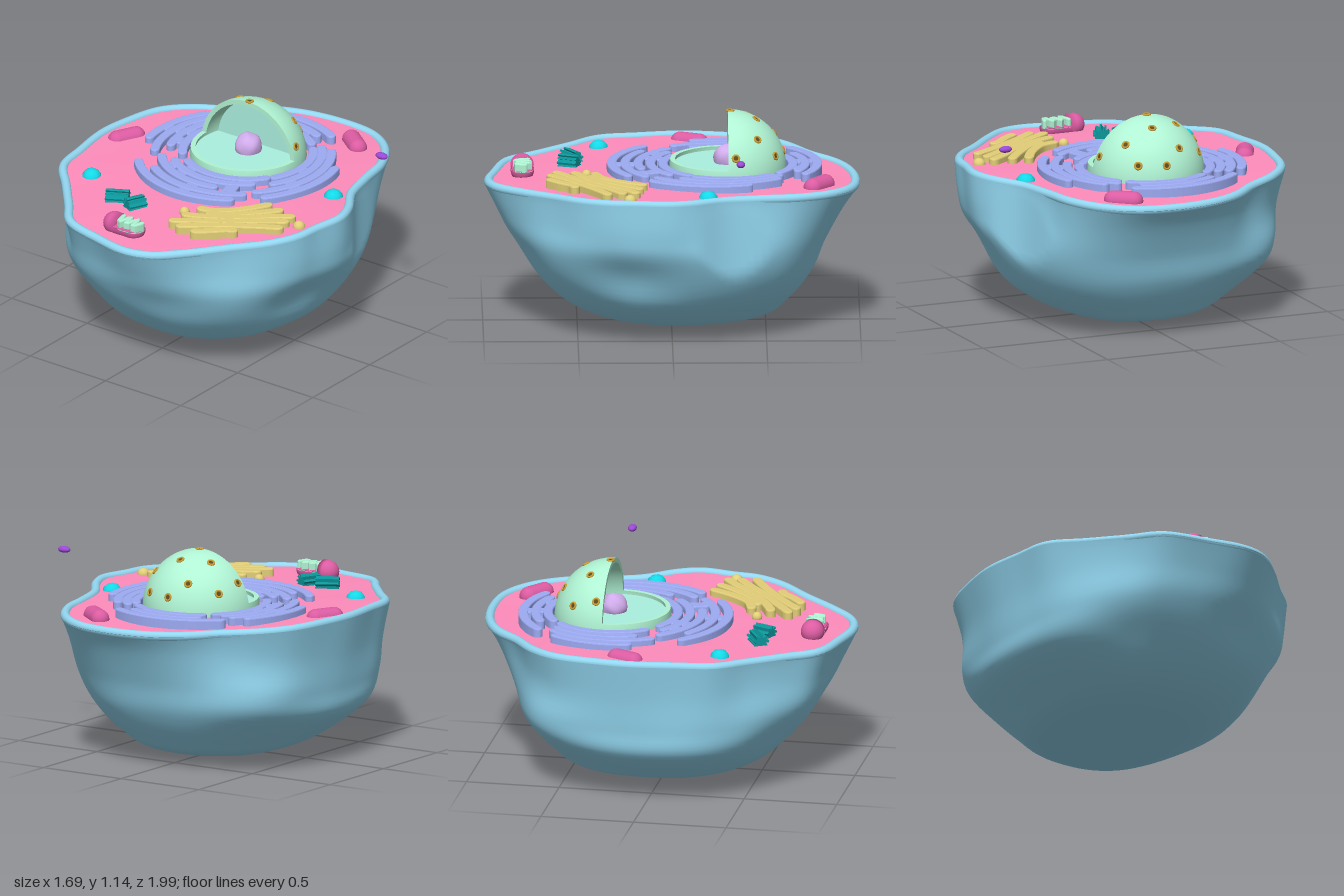
import * as THREE from 'three';

const V2 = (x, y) => new THREE.Vector2(x, y);
const mat = (color) => new THREE.MeshStandardMaterial({ color, side: THREE.DoubleSide });
const M = {
  membrane: mat(0x94d8f2), cytoplasm: mat(0xff8cbc), reticulum: mat(0x9dabf2), shell: mat(0xb0f4d4),
  inner: mat(0xaaf0e0), nucleolus: mat(0xd0aceb), gold: mat(0xe2cf78), pore: mat(0xc89c34),
  dark: mat(0x5a4a20), mito: mat(0xdc5ca2), cyan: mat(0x14dcea), teal: mat(0x0c989c), purple: mat(0x9c48d6),
};

function add(parent, name, geo, material, x = 0, y = 0, z = 0) {
  const m = new THREE.Mesh(geo, material);
  m.name = name;
  m.position.set(x, y, z);
  parent.add(m);
  return m;
}

// Cell outline seen from above (x, z)
const outline = new THREE.CatmullRomCurve3([
  [.11, -1], [.32, -.97], [.48, -.86], [.585, -.69], [.63, -.5], [.69, -.29], [.8, -.11], [.838, .02],
  [.81, .2], [.79, .34], [.71, .49], [.56, .65], [.4, .83], [.25, .96], [.11, .995], [-.1, .96],
  [-.34, .89], [-.47, .74], [-.63, .555], [-.77, .39], [-.81, .185], [-.842, -.05], [-.825, -.24],
  [-.765, -.48], [-.645, -.63], [-.46, -.76], [-.31, -.89], [-.13, -.97],
].map(([x, z]) => new THREE.Vector3(x, 0, z)), true);

const rimY = (x) => .8 + .045 * x * x;
const inset = (p, d) => p.clone().multiplyScalar(1 - d / p.length());

// Surface from closed loops: f(u, v) gives a point
function loopSurface(f, nu, nv) {
  const pos = [], idx = [];
  for (let j = 0; j <= nv; j++) for (let i = 0; i < nu; i++) pos.push(...f(i / nu, j / nv));
  for (let j = 0; j < nv; j++) for (let i = 0; i < nu; i++) {
    const a = j * nu + i, b = j * nu + (i + 1) % nu;
    idx.push(a, b, a + nu, b, b + nu, a + nu);
  }
  const g = new THREE.BufferGeometry();
  g.setAttribute('position', new THREE.Float32BufferAttribute(pos, 3));
  g.setIndex(idx);
  g.computeVertexNormals();
  return g;
}

// Wall profiles (outline scale, height) towards +x, -x, +z, -z
const profiles = [
  [[1, .8], [.985, .62], [.95, .48], [.79, .245], [.62, .12], [.4, .04], [0, 0]],
  [[1, .8], [.95, .6], [.915, .42], [.87, .28], [.65, .14], [.43, .05], [0, 0]],
  [[1, .8], [.935, .65], [.87, .48], [.75, .29], [.57, .12], [.35, .035], [0, 0]],
  [[1, .8], [.92, .68], [.82, .48], [.75, .32], [.62, .16], [.45, .05], [0, 0]],
].map((p) => new THREE.SplineCurve(p.map(([s, y]) => V2(s, y))));

// Soft hollows (or swellings, if negative) in the wall: angle, height, depth
const dents = [[.32, .38, .06], [2.1, .3, .05], [1.25, .42, .03], [-2.4, .42, -.06]];

function bodyPoint(u, v) {
  const p = outline.getPoint(u), a = Math.atan2(p.z, p.x);
  const c = Math.cos(a) ** 2;
  const A = profiles[p.x > 0 ? 0 : 1].getPoint(v), B = profiles[p.z > 0 ? 2 : 3].getPoint(v);
  let s = A.x * c + B.x * (1 - c);
  let y = A.y * c + B.y * (1 - c);
  // the wavy outline fades into a plain rounded oval lower down
  const oval = (Math.abs(Math.cos(a) / .835) ** 2.35 + Math.abs(Math.sin(a) / .99) ** 2.35) ** (-1 / 2.35);
  s *= 1 + (oval / p.length() - 1) * .85 * THREE.MathUtils.smoothstep(v, 0, .45);
  for (const [da, dy, d] of dents) {
    const w = Math.atan2(Math.sin(a - da), Math.cos(a - da));
    s *= 1 - d * Math.exp(-((w / .3) ** 2) - ((y - dy) / .13) ** 2);
  }
  s = Math.min(s, 1);
  y += (rimY(p.x) - .822) * Math.max(0, 1 - v * 3);
  return [p.x * s - .04 * v * v, Math.max(0, y), p.z * s - .06 * v * v];
}

function floorPoint(u, v) {
  const p = inset(outline.getPoint(u), .03);
  const y = .812 + (rimY(p.x) - .014 - .812) * v * v;
  return [p.x * v, y + .004 * Math.sin(p.x * v * 9) * Math.sin(p.z * v * 7) * (1 - v), p.z * v];
}

// Flat ribbon with round ends and soft edges along points (x, z)
function ribbon(points, half, top) {
  const curve = new THREE.SplineCurve(points.map(([x, z]) => V2(x, z)));
  const len = curve.getLength(), n = 40, left = [], right = [];
  for (let i = 0; i <= n; i++) {
    const k = (1 - Math.cos(Math.PI * i / n)) / 2;
    const d = Math.min(k, 1 - k) * len;
    const w = (half - .007) * Math.sqrt(1 - Math.max(0, 1 - d / half) ** 2) + .001;
    const p = curve.getPointAt(k), t = curve.getTangentAt(k);
    left.push(V2(p.x - t.y * w, p.y + t.x * w));
    right.unshift(V2(p.x + t.y * w, p.y - t.x * w));
  }
  const g = new THREE.ExtrudeGeometry(new THREE.Shape([...left, ...right]),
    { depth: .05, bevelSize: .007, bevelThickness: .007, bevelSegments: 2 });
  return g.rotateX(Math.PI / 2).translate(0, top - .007, 0);
}

// Folded membrane around the nucleus: t = 0 inner edge, 1 outer edge
function reticulumPoint(deg, t) {
  const a = deg * Math.PI / 180;
  const r = .33 + .215 * t;
  return [-.03 - .01 * t + r * Math.cos(a), -.3 + .07 * t + r * Math.sin(a) * (1 + .03 * t)];
}

function reticulum() {
  const g = new THREE.Group();
  g.name = 'endoplasmicReticulum';
  const arcs = [
    [.9, -134, -60], [.5, -122, -64], [.1, -128, -50],
    [.92, 166, 214], [.64, 148, 220], [.36, 155, 222], [.08, 138, 226],
    [.95, 56, 138], [.72, 50, 126], [.49, 72, 142], [.27, 46, 132], [.05, 34, 126],
    [.92, -20, 40], [.64, -42, 46], [.36, -48, 34], [.08, -44, 32],
  ];
  for (const [t, a, b] of arcs) {
    const pts = [];
    for (let i = 0; i <= 8; i++) pts.push(reticulumPoint(a + (b - a) * i / 8, t));
    add(g, 'reticulumFold', ribbon(pts, .025, .848), M.reticulum);
  }
  const links = [[-97, .05, .95], [-75, .1, .5], [183, .05, .92], [200, .3, .64], [165, .08, .4], [108, .04, .5],
    [88, .45, .95], [122, .25, .5], [-30, .05, .65], [18, .35, .92], [0, .08, .4], [62, .2, .72]];
  for (const [a, t0, t1] of links)
    add(g, 'reticulumLink', ribbon([reticulumPoint(a, t0), reticulumPoint(a, t1)], .036, .846), M.reticulum);
  return g;
}

function nucleus() {
  const g = new THREE.Group(), P = Math.PI, R = .31, r = .284, cut = .05, recess = .09;
  g.name = 'nucleus';
  g.position.set(-.033, .82, -.3);
  for (const q of [R, r]) {
    const th = Math.acos(cut / q);
    add(g, 'nucleusDome', new THREE.SphereGeometry(q, 40, 24, P, P, 0, P / 2), M.shell);
    add(g, 'nucleusFrontWall', new THREE.SphereGeometry(q, 40, 4, 0, P, th, P / 2 - th), M.shell);
  }
  add(g, 'domeEdge', new THREE.RingGeometry(r, R, 48, 1, 0, P), M.shell);
  const low = new THREE.RingGeometry(Math.sqrt(r * r - cut * cut), Math.sqrt(R * R - cut * cut), 48, 1, P, P);
  add(g, 'frontWallEdge', low.rotateX(-P / 2), M.shell, 0, cut, 0);
  add(g, 'nucleusBackWall', new THREE.CircleGeometry(Math.sqrt(r * r - recess * recess), 48, 0, P), M.inner, 0, 0, -recess);
  add(g, 'nucleusFloor', new THREE.CircleGeometry(r, 48).rotateX(-P / 2), M.inner, 0, .03, 0);

  // Lumpy nucleolus
  const ball = new THREE.SphereGeometry(.072, 24, 16), p = ball.attributes.position;
  for (let i = 0; i < p.count; i++) {
    const k = 1 + .06 * Math.sin(p.getX(i) * 60) * Math.cos(p.getY(i) * 55 + p.getZ(i) * 50);
    p.setXYZ(i, p.getX(i) * k, p.getY(i) * k, p.getZ(i) * k);
  }
  ball.computeVertexNormals();
  add(g, 'nucleolus', ball, M.nucleolus, .003, .055, .005);

  // Pores given by their offset (x, z) on the dome
  for (const [x, z] of [[-.085, -.245], [.155, -.25], [-.13, -.097], [.185, -.155], [-.262, -.04], [.285, -.04],
    [0, -.012], [.03, -.15], [-.23, -.17], [.01, -.295]]) {
    const n = new THREE.Vector3(x, Math.sqrt(R * R - x * x - z * z), z).normalize();
    const pore = new THREE.Group();
    pore.name = 'nuclearPore';
    pore.position.copy(n).multiplyScalar(R + .001);
    pore.quaternion.setFromUnitVectors(new THREE.Vector3(0, 0, 1), n);
    add(pore, 'poreRing', new THREE.TorusGeometry(.017, .006, 8, 18), M.pore);
    add(pore, 'poreHole', new THREE.CircleGeometry(.016, 16), M.dark, 0, 0, .001);
    g.add(pore);
  }
  return g;
}

// Bundle of nine rods lying flat
function centriole(x, z, turn, length) {
  const g = new THREE.Group();
  g.name = 'centriole';
  g.position.set(x, .82, z);
  g.rotation.y = turn;
  add(g, 'centrioleCore', new THREE.CylinderGeometry(.03, .03, length * .96, 18).rotateZ(Math.PI / 2), M.teal);
  for (let i = 0; i < 9; i++) {
    const a = i / 9 * Math.PI * 2;
    const rod = add(g, 'centrioleRod', new THREE.BoxGeometry(length, .022, .011), M.teal, 0, .032 * Math.cos(a), .032 * Math.sin(a));
    rod.rotation.x = a + .5;
  }
  return g;
}

function cutMitochondrion() {
  const g = new THREE.Group(), end = [], P = Math.PI;
  g.name = 'cutMitochondrion';
  for (let i = 0; i <= 10; i++) end.push(V2(.062 * Math.cos(i / 10 * P / 2), .063 + .062 * Math.sin(i / 10 * P / 2)));
  const at = [-.033, .823, .79];
  const whole = [V2(0, .035), V2(.061, .035), ...end];
  add(g, 'closedHalf', new THREE.LatheGeometry(whole, 28).rotateZ(P / 2), M.mito, ...at);
  const open = [V2(.062, -.035), ...end];
  add(g, 'openHalf', new THREE.LatheGeometry(open, 20, P, P).rotateZ(P / 2).scale(-1, 1, 1), M.mito, ...at);
  add(g, 'matrix', new THREE.CapsuleGeometry(.056, .11, 6, 20).rotateZ(P / 2).scale(1, .1, 1), M.mito, at[0] + .006, .825, .79);
  const zig = [];
  for (let i = 0; i <= 6; i++) zig.push([-.06 + i * .0225, .79 + (i % 2 ? 1 : -1) * (i > 5 ? .02 : .036)]);
  add(g, 'cristae', ribbon(zig, .0125, .868), M.shell);
  return g;
}

export function createModel() {
  const model = new THREE.Group();
  model.name = 'cell';

  // Bowl, rolled rim and cut surface
  add(model, 'membrane', loopSurface(bodyPoint, 140, 36), M.membrane);
  const rim = outline.getPoints(100).slice(0, -1).map((p) => inset(p, .026).setY(rimY(p.x) - .021));
  add(model, 'membraneRim', new THREE.TubeGeometry(new THREE.CatmullRomCurve3(rim, true), 160, .025, 12, true), M.membrane);
  add(model, 'cytoplasm', loopSurface(floorPoint, 140, 14), M.cytoplasm);

  model.add(nucleus(), reticulum(), cutMitochondrion());
  model.add(centriole(-.275, .53, .5, .125), centriole(-.15, .54, 1.14, .105));

  // Golgi stack with two vesicles
  for (const pts of [
    [[.17, .41], [.28, .37], [.38, .26], [.45, .14]],
    [[.24, .43], [.34, .385], [.46, .26], [.54, .16]],
    [[.15, .52], [.28, .46], [.45, .345], [.54, .26], [.64, .185]],
    [[.14, .62], [.27, .53], [.42, .43], [.54, .33], [.65, .255]],
    [[.21, .65], [.32, .56], [.46, .46], [.57, .39], [.67, .335]],
    [[.31, .655], [.39, .59], [.45, .53], [.5, .51]],
    [[.33, .41], [.4, .43], [.43, .48]],
  ]) add(model, 'golgiFold', ribbon(pts, .026, .845), M.gold);
  add(model, 'golgiVesicle', new THREE.SphereGeometry(.028, 16, 12), M.gold, .11, .815, .45);
  add(model, 'golgiVesicle', new THREE.SphereGeometry(.034, 16, 12), M.gold, .7, .812, .225);

  // Whole mitochondria
  for (const [x, z, turn] of [[.31, -.78, -.63], [-.695, -.105, 1.13]]) {
    const m = add(model, 'mitochondrion', new THREE.CapsuleGeometry(.05, .112, 8, 20).rotateZ(Math.PI / 2), M.mito, x, .802, z);
    m.rotation.y = turn;
  }

  // Lysosomes and the free vesicle
  for (const [x, z] of [[-.56, .38], [.615, -.19]])
    add(model, 'lysosome', new THREE.IcosahedronGeometry(.055, 1), M.cyan, x, .793, z);
  add(model, 'freeVesicle', new THREE.SphereGeometry(.037, 20, 14).scale(1, .48, .62), M.purple, .807, 1.035, -.36);
  return model;
}
